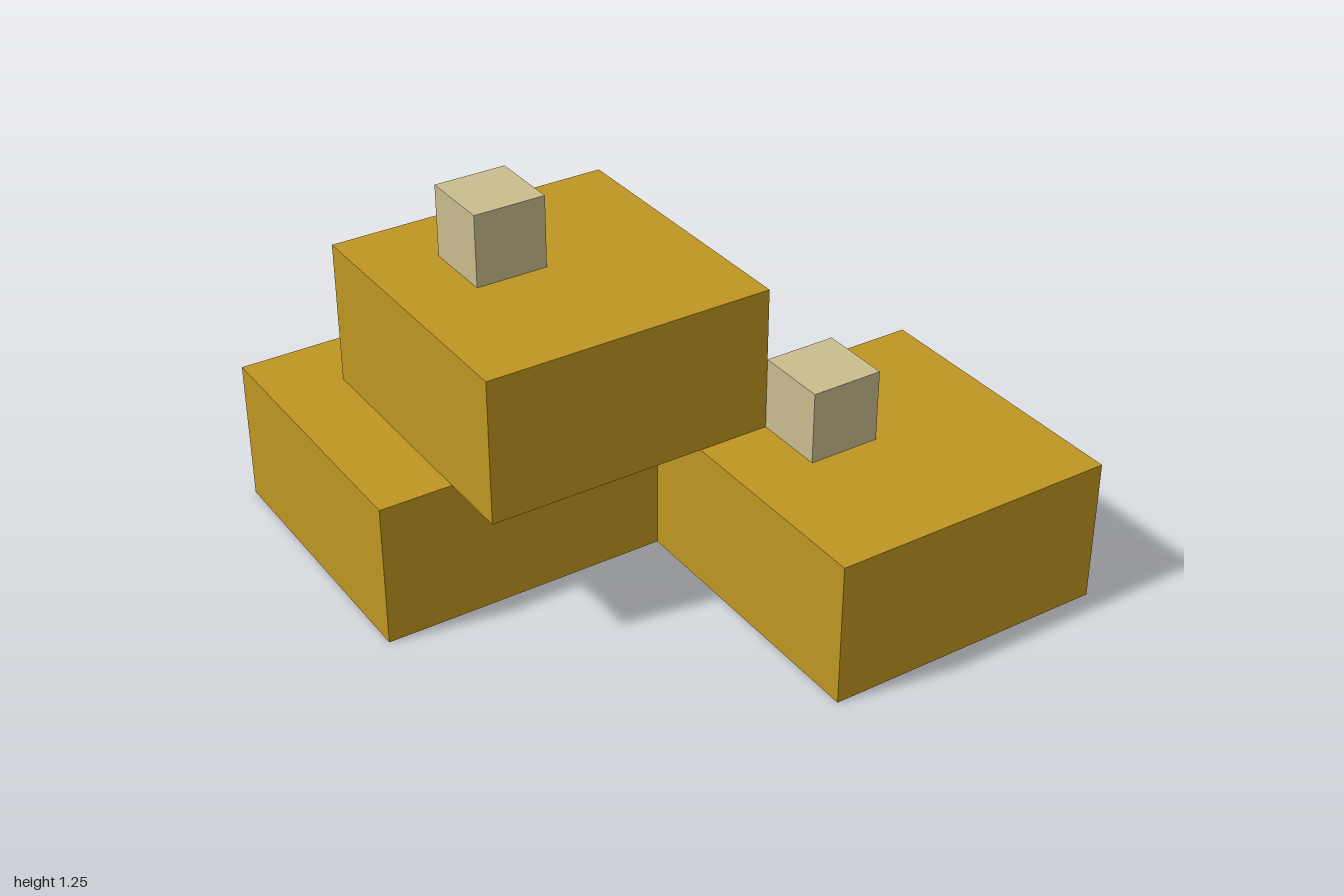
import * as THREE from 'three';

export function createModel() {
  const model = new THREE.Group();
  model.name = 'stackedBlocks';

  const gold = new THREE.MeshStandardMaterial({ color: 0xbe9622 });
  gold.name = 'gold';
  const sand = new THREE.MeshStandardMaterial({ color: 0xc9bc8e });
  sand.name = 'sand';

  // Adds a box centred on (x, z) whose underside rests at y = bottom
  function addBlock(name, material, width, height, x, bottom, z) {
    const mesh = new THREE.Mesh(new THREE.BoxGeometry(width, height, width), material);
    mesh.name = name;
    mesh.position.set(x, bottom + height / 2, z);
    model.add(mesh);
  }

  // Two base slabs touching at one corner edge
  addBlock('backBaseSlab', gold, 1, 0.5, -0.5, 0, -0.5);
  addBlock('frontBaseSlab', gold, 1, 0.5, 0.5, 0, 0.5);

  // Upper slab bridging both bases
  addBlock('upperSlab', gold, 1, 0.5, -0.25, 0.5, -0.25);

  // Small cubes resting on the slabs
  addBlock('topCube', sand, 0.25, 0.25, -0.375, 1, -0.375);
  addBlock('frontCube', sand, 0.25, 0.25, 0.375, 0.5, 0.375);

  return model;
}
